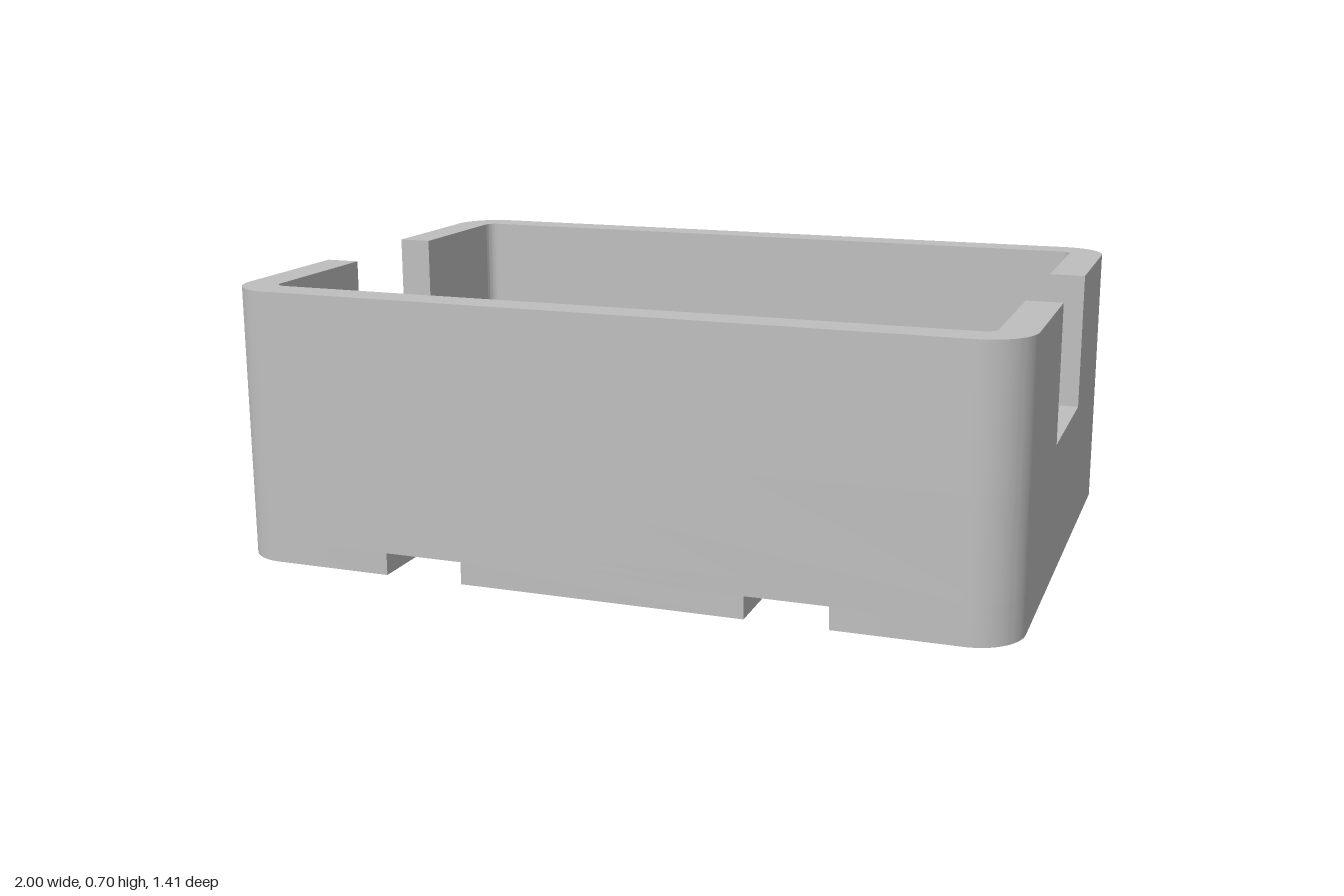
import * as THREE from 'three';
import { toCreasedNormals } from 'three/addons/utils/BufferGeometryUtils.js';

const X = 1, Z = 0.705, R = 0.12;           // outer half sizes and corner radius
const IX = 0.91, IZ = 0.615, IR = 0.03;     // inner half sizes and corner radius
const SLOT_IN = 0.365, SLOT_OUT = 0.57;     // underside slots
const NOTCH = 0.205;                        // half width of the end cutouts
const SLOT_TOP = 0.057, FLOOR = 0.1, SILL = 0.35, TOP = 0.7;

// Right-angled outline from [x, y, radius] corners; radius 0 stays sharp.
function outline(corners, Type = THREE.Shape) {
  const path = new Type();
  const n = corners.length;
  const pt = (i) => new THREE.Vector2(...corners[(i + n) % n]);
  for (let i = 0; i < n; i++) {
    const p = pt(i), r = corners[i][2] || 0;
    const d1 = p.clone().sub(pt(i - 1)).normalize();
    const d2 = pt(i + 1).sub(p).normalize();
    const start = p.clone().addScaledVector(d1, -r);
    if (i === 0) path.moveTo(start.x, start.y);
    else path.lineTo(start.x, start.y);
    if (r > 0) {
      const c = start.clone().addScaledVector(d2, r);
      path.absarc(c.x, c.y, r, Math.atan2(-d2.y, -d2.x), Math.atan2(d1.y, d1.x), d1.cross(d2) < 0);
    }
  }
  path.closePath();
  return path;
}

const box = (x, y, r, Type) => outline([[x, -y, r], [x, y, r], [-x, y, r], [-x, -y, r]], Type);

export function createModel() {
  const model = new THREE.Group();
  model.name = 'openBox';
  const grey = new THREE.MeshStandardMaterial({ color: 0xbfbfbf });
  grey.name = 'grey';

  // Raises a plan outline from height y0 to y1.
  function layer(name, shape, y0, y1, turn = 0) {
    const raw = new THREE.ExtrudeGeometry(shape, { depth: y1 - y0, bevelEnabled: false, curveSegments: 12 });
    raw.rotateX(-Math.PI / 2);
    const mesh = new THREE.Mesh(toCreasedNormals(raw, 0.5), grey);
    mesh.name = name;
    mesh.position.y = y0;
    mesh.rotation.y = turn;
    model.add(mesh);
  }

  // Underside runners, leaving two slots from front to back
  const sideRunner = outline([[SLOT_OUT, -Z], [X, -Z, R], [X, Z, R], [SLOT_OUT, Z]]);
  layer('middleRunner', box(SLOT_IN, Z, 0), 0, SLOT_TOP);
  layer('leftRunner', sideRunner, 0, SLOT_TOP);
  layer('rightRunner', sideRunner, 0, SLOT_TOP, Math.PI);

  // Floor
  layer('floor', box(X, Z, R), SLOT_TOP, FLOOR);

  // Closed wall up to the sill of the cutouts
  const ring = box(X, Z, R);
  ring.holes.push(box(IX, IZ, IR, THREE.Path));
  layer('lowerWall', ring, FLOOR, SILL);

  // Upper walls, one U-shape on each side of the end cutouts
  const upper = outline([
    [X, NOTCH], [X, Z, R], [-X, Z, R], [-X, NOTCH],
    [-IX, NOTCH], [-IX, IZ, IR], [IX, IZ, IR], [IX, NOTCH],
  ]);
  layer('backUpperWall', upper, SILL, TOP);
  layer('frontUpperWall', upper, SILL, TOP, Math.PI);

  return model;
}
